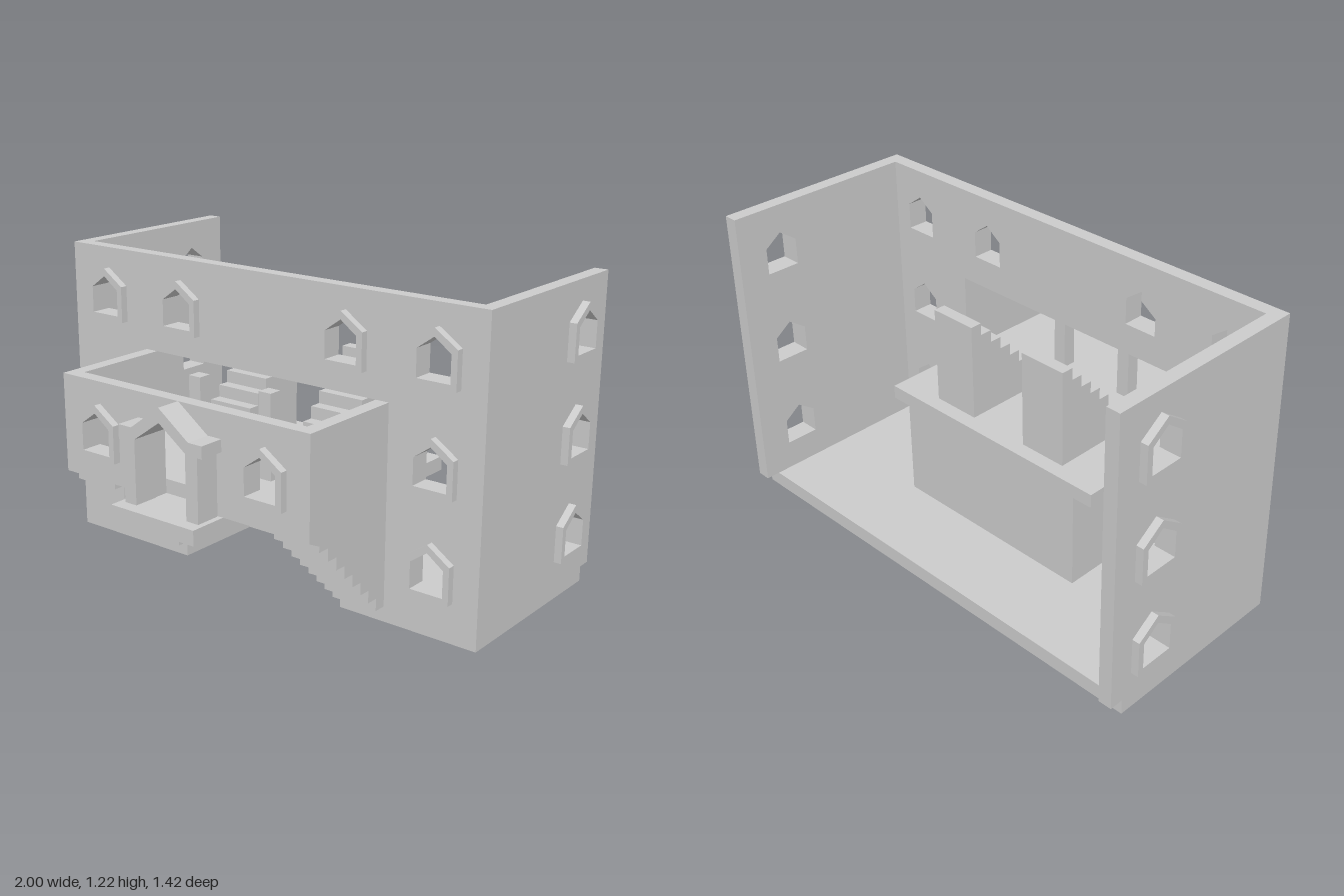
import * as THREE from 'three';

const T = 0.055;          // wall thickness
const STEP = 0.0488;      // stair pitch
const ROWS = [0.155, 0.543, 0.93]; // window frame sills

export function createModel() {
  const model = new THREE.Group();
  const material = new THREE.MeshStandardMaterial({ color: 0xcccccc });

  const add = (geometry, name) => {
    const mesh = new THREE.Mesh(geometry, material);
    mesh.name = name;
    model.add(mesh);
    return mesh;
  };
  // Box given by its limits on each axis
  const box = (name, x0, x1, y0, y1, z0, z1) =>
    add(new THREE.BoxGeometry(x1 - x0, y1 - y0, z1 - z0), name)
      .position.set((x0 + x1) / 2, (y0 + y1) / 2, (z0 + z1) / 2);
  const poly = (pts, Kind = THREE.Shape) => new Kind(pts.map(p => new THREE.Vector2(p[0], p[1])));
  const extrude = (shape, depth) => new THREE.ExtrudeGeometry(shape, { depth, bevelEnabled: false });
  // Outline in (x, y), growing from z towards the front
  const frontPanel = (name, shape, z, depth) => {
    add(extrude(shape, depth), name).position.z = z;
  };
  // Outline in (z, y), growing from x towards -x
  const sidePanel = (name, shape, x, depth) => {
    add(extrude(shape, depth).rotateY(-Math.PI / 2), name).position.x = x;
  };

  // Pointed windows: the opening and the frame around it
  const opening = (c, y) => poly([[c - 0.068, y + 0.023], [c + 0.068, y + 0.023],
    [c + 0.068, y + 0.128], [c, y + 0.177], [c - 0.068, y + 0.128]], THREE.Path);
  const frame = (c, y) => {
    const s = poly([[c - 0.0925, y], [c + 0.0925, y], [c + 0.0925, y + 0.145],
      [c, y + 0.208], [c - 0.0925, y + 0.145]]);
    s.holes.push(opening(c, y));
    return s;
  };

  // Front wall, open behind the annex and at the passage below it
  const frontWall = poly([[-0.97, 0], [-0.385, 0], [-0.385, 0.45], [-0.525, 0.45], [-0.525, 0.835],
    [0.525, 0.835], [0.525, 0.45], [0.385, 0.45], [0.385, 0], [0.97, 0], [0.97, 1.22], [-0.97, 1.22]]);
  for (const s of [-1, 1]) {
    for (const [x, row] of [[0.775, 0], [0.775, 1], [0.775, 2], [0.39, 2]]) {
      frontWall.holes.push(opening(s * x, ROWS[row]));
      frontPanel('frontWindowFrame', frame(s * x, ROWS[row]), 0.12, 0.03);
    }
  }
  frontPanel('frontWall', frontWall, 0.065, T);

  // Side walls with three windows each
  for (const s of [-1, 1]) {
    const wall = poly([[-0.71, 0.06], [0.065, 0.06], [0.065, 1.22], [-0.71, 1.22]]);
    for (const y of ROWS) {
      wall.holes.push(opening(-0.52, y));
      sidePanel('sideWindowFrame', frame(-0.52, y), s > 0 ? 1 : -0.97, 0.03);
    }
    sidePanel('sideWall', wall, s > 0 ? 0.97 : -0.97 + T, T);
  }

  // Ground floor around the passage
  box('floorBack', -0.97, 0.97, 0, 0.06, -0.655, -0.275);
  box('floorRight', -0.97, -0.385, 0, 0.06, -0.275, 0.065);
  box('floorLeft', 0.385, 0.97, 0, 0.06, -0.275, 0.065);

  // Passage walls and the upper floor slab over them
  box('passageBack', -0.44, 0.44, 0.06, 0.45, -0.33, -0.275);
  box('passageWallRight', -0.44, -0.385, 0.06, 0.45, -0.275, 0.065);
  box('passageWallLeft', 0.385, 0.44, 0.06, 0.45, -0.275, 0.065);
  box('upperFloor', -0.525, 0.525, 0.45, 0.505, -0.33, 0.51);

  // Stepped brackets under the annex
  const bracket = [[0.12, 0.45], [0.12, 0.06]];
  for (let i = 0; i < 8; i++) {
    const z = 0.17 + i * STEP, y = 0.06 + i * STEP;
    bracket.push([z, y], [z, y + STEP]);
  }
  bracket.push([0.565, 0.45]);

  // Inner stairs rising towards the back
  const stair = [[-0.27, 0.505], [0.12, 0.505]];
  for (let i = 0; i < 8; i++) {
    const z = 0.12 - i * STEP, y = 0.505 + (i + 1) * STEP;
    stair.push([z, y], [z - STEP, y]);
  }

  for (const s of [-1, 1]) {
    sidePanel('steppedBracket', poly(bracket), s > 0 ? 0.58 : -0.385, 0.195);
    sidePanel('innerStair', poly(stair), s > 0 ? 0.33 : -0.13, 0.2);
    box('annexSideWall', s * 0.5525 - T / 2, s * 0.5525 + T / 2, 0.45, 0.835, 0.12, 0.51);
    box('post', s * 0.1675 - T / 2, s * 0.1675 + T / 2, 0.505, 0.835, 0.24, 0.295);
    frontPanel('annexWindowFrame', frame(s * 0.39, ROWS[1]), 0.565, 0.03);
  }

  // Annex front wall with door and two windows
  const annexFront = poly([[-0.58, 0.45], [-0.12, 0.45], [-0.12, 0.695], [0, 0.78], [0.12, 0.695],
    [0.12, 0.45], [0.58, 0.45], [0.58, 0.835], [-0.58, 0.835]]);
  annexFront.holes.push(opening(-0.39, ROWS[1]), opening(0.39, ROWS[1]));
  frontPanel('annexFrontWall', annexFront, 0.51, T);

  // Gabled door surround on the porch slab
  const half = [[0.12, 0.445], [0.175, 0.445], [0.175, 0.69], [0.197, 0.69], [0.197, 0.737], [0.135, 0.737]];
  const surround = poly([[0, 0.78], [0.12, 0.695], ...half, [0, 0.835],
    ...half.map(([x, y]) => [-x, y]).reverse(), [-0.12, 0.695]]);
  frontPanel('doorSurround', surround, 0.565, 0.1);
  box('porchSlab', -0.197, 0.197, 0.39, 0.448, 0.46, 0.715);

  return model;
}
